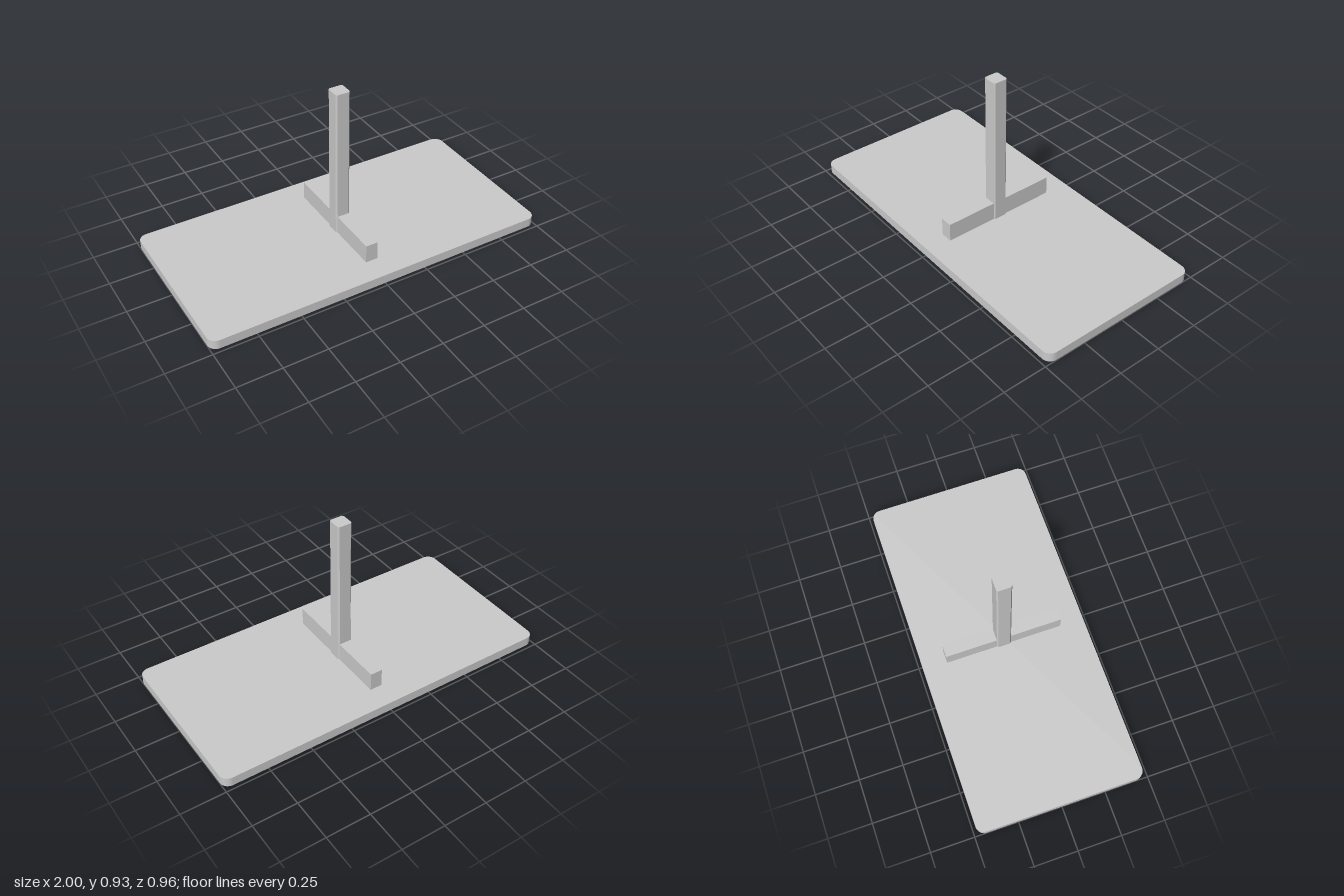
import * as THREE from 'three';

const material = new THREE.MeshStandardMaterial({ color: 0xcccccc });

// Rectangle outline with rounded corners; one segment gives a chamfer
function cornerShape(hx, hz, r, segments) {
  const points = [];
  const corners = [[1, 1], [-1, 1], [-1, -1], [1, -1]];
  corners.forEach(([sx, sz], i) => {
    for (let k = 0; k <= segments; k++) {
      const a = (i + k / segments) * Math.PI / 2;
      points.push(new THREE.Vector2(sx * (hx - r) + r * Math.cos(a), sz * (hz - r) + r * Math.sin(a)));
    }
  });
  return new THREE.Shape(points);
}

// Upright prism between two heights
function prism(name, shape, y0, y1) {
  const geometry = new THREE.ExtrudeGeometry(shape, { depth: y1 - y0, bevelEnabled: false });
  geometry.rotateX(-Math.PI / 2).translate(0, y0, 0);
  const mesh = new THREE.Mesh(geometry, material);
  mesh.name = name;
  return mesh;
}

export function createModel() {
  const model = new THREE.Group();
  model.name = 'postOnBase';

  // Flat slab with rounded corners
  model.add(prism('base', cornerShape(1, 0.48, 0.05, 12), 0.002, 0.055));

  // Post with narrow chamfered edges
  model.add(prism('post', cornerShape(0.042, 0.042, 0.008, 1), 0.002, 0.926));

  // Foot bar running front to back through the slab
  const bar = new THREE.Mesh(new THREE.BoxGeometry(0.07, 0.162, 0.68), material);
  bar.name = 'footBar';
  bar.position.y = 0.081;
  model.add(bar);

  return model;
}
